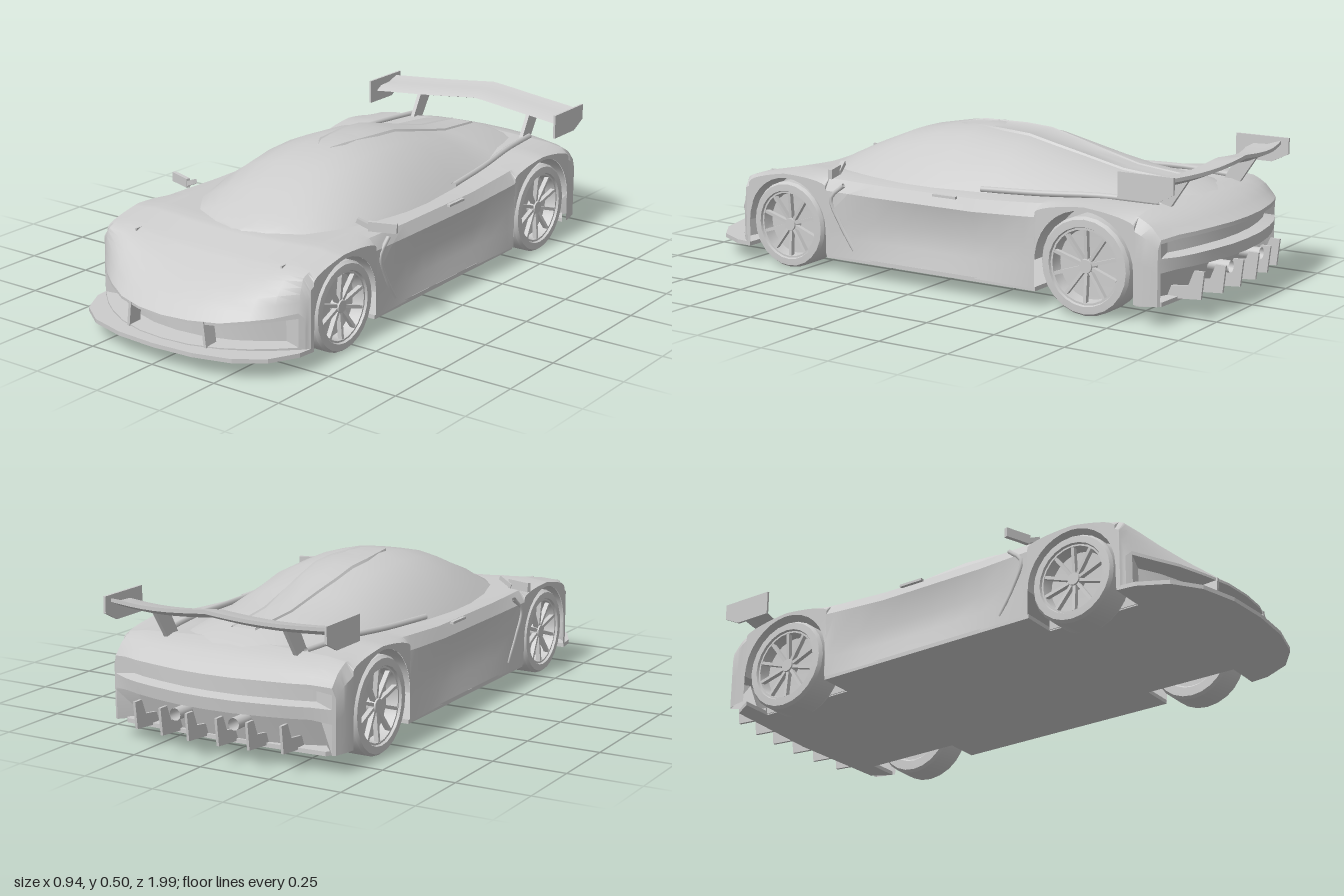
import * as THREE from 'three';
import { toCreasedNormals } from 'three/addons/utils/BufferGeometryUtils.js';

const grey = new THREE.MeshStandardMaterial({ color: 0xcccccc, side: THREE.DoubleSide });
const V = (x, y, z) => new THREE.Vector3(x, y, z);
const lerp = THREE.MathUtils.lerp;
const WHEELS = [{ name: 'front', z: 0.56, r: 0.15, arch: 0.165 }, { name: 'rear', z: -0.62, r: 0.16, arch: 0.18 }];
const SILL = 0.065;

function add(parent, name, geometry, x = 0, y = 0, z = 0) {
  const mesh = new THREE.Mesh(geometry, grey);
  mesh.name = name;
  mesh.position.set(x, y, z);
  parent.add(mesh);
  return mesh;
}

// Skin a grid of points, rows by columns
function skin(rows, crease = 0.5) {
  const n = rows[0].length, index = [];
  for (let i = 0; i < rows.length - 1; i++) {
    for (let j = 0; j < n - 1; j++) {
      const a = i * n + j, b = a + n;
      index.push(a, a + 1, b, a + 1, b + 1, b);
    }
  }
  const g = new THREE.BufferGeometry().setFromPoints(rows.flat());
  g.setIndex(index);
  return toCreasedNormals(g, crease);
}

// Mirror a half section that starts on the centre line
const mirrored = (half) => [...half.slice(1).reverse().map((p) => V(-p.x, p.y, p.z)), ...half];

// Linear lookup in a table sorted by falling z
function lookup(table, z) {
  let i = 0;
  while (i < table.length - 2 && table[i + 1][0] > z) i++;
  const a = table[i], b = table[i + 1], t = THREE.MathUtils.clamp((a[0] - z) / (a[0] - b[0]), 0, 1);
  return a.map((v, k) => lerp(v, b[k], t));
}

// z, then heights at centre, inner deck, fender crown, shoulder, then half width
const BODY = [
  [0.95, 0.15, 0.155, 0.175, 0.19, 0.415], [0.88, 0.2, 0.21, 0.24, 0.25, 0.42],
  [0.8, 0.245, 0.258, 0.283, 0.288, 0.425], [0.7, 0.288, 0.298, 0.315, 0.312, 0.427],
  [0.57, 0.325, 0.332, 0.34, 0.332, 0.428], [0.4, 0.33, 0.33, 0.34, 0.33, 0.425],
  [0.2, 0.33, 0.33, 0.335, 0.325, 0.42], [-0.2, 0.33, 0.33, 0.335, 0.325, 0.42],
  [-0.4, 0.33, 0.33, 0.342, 0.337, 0.425], [-0.62, 0.35, 0.35, 0.36, 0.354, 0.428],
  [-0.8, 0.362, 0.355, 0.348, 0.338, 0.427], [-0.9, 0.338, 0.335, 0.325, 0.312, 0.42],
  [-0.98, 0.29, 0.29, 0.285, 0.275, 0.41],
];

// Nose and tail curve back towards the sides
function sweep(x, z) {
  const s = Math.pow(Math.abs(x) / 0.42, 2.2);
  if (z > 0.74) return z - 0.2 * s * (z - 0.74) / 0.21;
  if (z < -0.81) return z + 0.11 * s * (-0.81 - z) / 0.17;
  return z;
}

function bodyHalf(z) {
  const [, c, i, f, s, w] = lookup(BODY, z);
  let bottom = SILL;
  for (const k of WHEELS) {
    const d = Math.abs(z - k.z);
    if (d <= k.arch + 1e-6) bottom = k.r + Math.sqrt(Math.max(0, k.arch ** 2 - d * d));
  }
  const dent = 0.022 * Math.max(0, 1 - ((z + 0.05) / 0.4) ** 2);
  const pts = [[0, c], [0.1, lerp(c, i, 0.4)], [0.2, i], [0.28, lerp(i, f, 0.6)], [0.34, f], [0.4, s],
    [w, lerp(s, bottom, 0.15)], [w - dent, lerp(s, bottom, 0.5)], [w - dent * 0.6, lerp(s, bottom, 0.75)], [w, bottom]];
  return pts.map(([x, y]) => V(x, y, sweep(x, z)));
}

function bodyShell() {
  const zs = BODY.map((r) => r[0]).concat([0.91, 0.84, 0.76, 0.3, 0.1, 0, -0.1, -0.3, -0.85, -0.94]);
  for (const k of WHEELS) {
    for (let a = 0; a <= 16; a++) zs.push(k.z + k.arch * Math.cos(a * Math.PI / 16));
    zs.push(k.z + k.arch + 0.001, k.z - k.arch - 0.001);
  }
  return skin(zs.sort((a, b) => b - a).map((z) => mirrored(bodyHalf(z))));
}

// End panel; rows hold [fraction of height from the top, inset]
function fascia(z, rows, dir) {
  const top = bodyHalf(z).slice(0, 7);
  const grid = rows.map(([t, inset]) => mirrored(top.map((p) =>
    V(p.x, lerp(p.y, SILL, t), p.z - dir * (p.x < 0.35 ? inset : 0)))));
  return skin(dir > 0 ? grid.reverse() : grid, 0.4);
}

// z, half width, base and top of the cabin
const CABIN = [
  [0.575, 0.04, 0.31, 0.328], [0.555, 0.13, 0.32, 0.338], [0.5, 0.235, 0.325, 0.365], [0.4, 0.305, 0.325, 0.41],
  [0.26, 0.345, 0.325, 0.466], [0.12, 0.36, 0.325, 0.492], [0, 0.362, 0.325, 0.5], [-0.2, 0.35, 0.325, 0.486],
  [-0.4, 0.32, 0.325, 0.438], [-0.55, 0.295, 0.33, 0.402], [-0.75, 0.26, 0.33, 0.383], [-0.86, 0.24, 0.3, 0.345],
];
const ARC = [[0, 1], [0.22, 0.99], [0.42, 0.89], [0.62, 0.71], [0.82, 0.38], [0.93, 0.16], [1, 0]];
const cabinTop = (z) => lookup(CABIN, z)[3];

function wing() {
  const rows = [];
  for (let i = -8; i <= 8; i++) {
    const x = i * 0.0506, c = 1 - (x / 0.405) ** 2;
    const y = 0.43 + 0.022 * c - 0.012 * Math.sin(Math.PI * Math.abs(x) / 0.405), z = -0.765 - 0.07 * c;
    rows.push([[0, 0], [-0.03, 0.016], [-0.08, 0.018], [-0.13, 0.034], [-0.13, 0.022], [-0.08, 0], [-0.03, -0.008], [0, 0]]
      .map(([dz, dy]) => V(x, y + dy, z + dz)));
  }
  return skin(rows);
}

// Flat plate from a z-y outline, standing along the car
function plate(points, thickness) {
  const g = new THREE.ExtrudeGeometry(new THREE.Shape(points.map(([z, y]) => new THREE.Vector2(-z, y))),
    { depth: thickness, bevelEnabled: false });
  return g.translate(0, 0, -thickness / 2).rotateY(Math.PI / 2);
}

function wheel(r) {
  const g = new THREE.Group();
  const profile = [[0, -0.045], [0.7, -0.05], [0.74, -0.057], [0.95, -0.057], [1, -0.045], [1, 0.045], [0.95, 0.057],
    [0.8, 0.058], [0.78, 0.05], [0.74, 0.05], [0.71, 0.01], [0, 0.005]].map(([k, y]) => new THREE.Vector2(k * r, y));
  add(g, 'tyre', toCreasedNormals(new THREE.LatheGeometry(profile, 24), 0.5)).rotation.z = -Math.PI / 2;
  for (let i = 0; i < 10; i++) {
    const spoke = new THREE.BoxGeometry(0.016, r * 0.62, 0.011).translate(0, r * 0.43, 0).rotateZ(-0.08);
    add(g, 'spoke', spoke, 0.032).rotation.x = i * Math.PI / 5;
  }
  add(g, 'hub', new THREE.CylinderGeometry(r * 0.14, r * 0.18, 0.03, 12).rotateZ(-Math.PI / 2), 0.032);
  return g;
}

export function createModel() {
  const car = new THREE.Group();
  car.name = 'sportsCar';

  // Bodywork
  add(car, 'bodyShell', bodyShell());
  add(car, 'frontGrille', fascia(0.95, [[0, 0], [0.1, 0], [0.14, 0.07], [0.86, 0.07], [0.9, 0], [1, 0]], 1));
  add(car, 'rearFascia', fascia(-0.98, [[0, 0], [0.06, 0], [0.1, 0.04], [0.28, 0.04], [0.32, 0], [0.5, 0.005],
    [0.54, 0.06], [1, 0.1]], -1));
  add(car, 'cabin', skin(CABIN.map(([z, w, b, t]) => mirrored(ARC.map(([u, v]) => V(u * w, lerp(b, t, v), z))))));

  // Raised spine along the roof and engine cover
  const spine = [0.11, 0.06, -0.1, -0.2, -0.3, -0.4, -0.55, -0.75].map((z, i) => {
    const w = [0.03, 0.06, 0.085, 0.085, 0.08, 0.07, 0.06, 0.05][i], y = cabinTop(z), h = i ? 0.006 : 0;
    return mirrored([V(0, y + h * 0.4, z), V(w * 0.75, y + h * 0.4, z), V(w * 0.85, y + h, z), V(w, y - 0.012, z)]);
  });
  add(car, 'roofSpine', skin(spine));

  // Floor with wheel notches and front splitter
  const half = [[0, 0.995], [0.15, 0.985], [0.28, 0.95], [0.37, 0.885], [0.42, 0.79], [0.427, 0.727], [0.3, 0.727],
    [0.3, 0.395], [0.42, 0.395], [0.42, -0.44], [0.3, -0.44], [0.3, -0.8], [0.41, -0.8], [0.37, -0.87], [0, -0.89]];
  const outline = [...half, ...half.slice(1, -1).reverse().map(([x, z]) => [-x, z])];
  const floor = new THREE.ExtrudeGeometry(new THREE.Shape(outline.map(([x, z]) => new THREE.Vector2(x, -z))),
    { depth: 0.014, bevelEnabled: false });
  add(car, 'floorAndSplitter', floor.rotateX(-Math.PI / 2), 0, 0.056, 0);

  // Rear wing and diffuser
  add(car, 'rearWing', wing());
  for (const x of [-0.27, -0.16, -0.055, 0.055, 0.16, 0.27]) {
    const back = x * x * 0.4;
    add(car, 'diffuserFin', plate([[-0.86, 0.06], [-0.985, 0.07], [-0.995, 0.16], [-0.96, 0.16], [-0.94, 0.11],
      [-0.86, 0.1]], 0.009), x, 0, back);
  }

  for (const side of [1, -1]) {
    // Wheels and wheel wells
    for (const k of WHEELS) {
      const w = wheel(k.r);
      w.name = k.name + 'Wheel';
      w.position.set(side * 0.366, k.r, k.z);
      if (side < 0) w.rotation.y = Math.PI;
      car.add(w);
      const liner = new THREE.CylinderGeometry(k.arch, k.arch, 0.125, 24, 1, true, 0, Math.PI);
      add(car, 'wheelArchLiner', liner.rotateZ(Math.PI / 2), side * 0.362, k.r, k.z);
      add(car, 'wheelWellWall', new THREE.BoxGeometry(0.006, 0.25, k.arch * 2), side * 0.3, 0.185, k.z);
    }

    // Door mirrors
    const mirror = add(car, 'doorMirror', new THREE.BoxGeometry(0.095, 0.032, 0.014), side * 0.422, 0.358, 0.355);
    mirror.rotation.y = side * 0.33;
    const stalk = add(car, 'mirrorStalk', new THREE.BoxGeometry(0.06, 0.016, 0.016), side * 0.365, 0.362, 0.372);
    stalk.rotation.set(0, side * 0.33, -side * 0.4);

    // Wing end plates and struts
    add(car, 'wingEndPlate', plate([[-0.73, 0.39], [-0.865, 0.39], [-0.925, 0.42], [-0.925, 0.475], [-0.73, 0.475]], 0.008),
      side * 0.405);
    add(car, 'wingStrut', plate([[-0.76, 0.33], [-0.82, 0.33], [-0.9, 0.45], [-0.82, 0.435]], 0.014), side * 0.24);

    // Slot behind the front wheel, buttress edge and door handle
    const slot = new THREE.CatmullRomCurve3([V(side * 0.419, 0.315, 0.32), V(side * 0.422, 0.265, 0.37),
      V(side * 0.418, 0.18, 0.335), V(side * 0.416, 0.095, 0.28)]);
    add(car, 'sideVentEdge', new THREE.TubeGeometry(slot, 12, 0.008, 6));
    const edge = new THREE.CatmullRomCurve3([V(side * 0.338, 0.345, -0.18), V(side * 0.316, 0.352, -0.4),
      V(side * 0.288, 0.362, -0.6), V(side * 0.26, 0.358, -0.8)]);
    add(car, 'buttressEdge', new THREE.TubeGeometry(edge, 12, 0.01, 6));
    add(car, 'doorHandle', new THREE.BoxGeometry(0.012, 0.008, 0.09), side * 0.41, 0.322, -0.085);

    // Grille strut and exhaust pipe
    add(car, 'grilleStrut', new THREE.BoxGeometry(0.01, 0.085, 0.05), side * 0.153, 0.112, 0.905).rotation.z = side * 0.12;
    add(car, 'exhaustPipe', new THREE.CylinderGeometry(0.02, 0.02, 0.08, 12, 1, true).rotateX(Math.PI / 2),
      side * 0.108, 0.145, -0.935);
  }
  return car;
}
